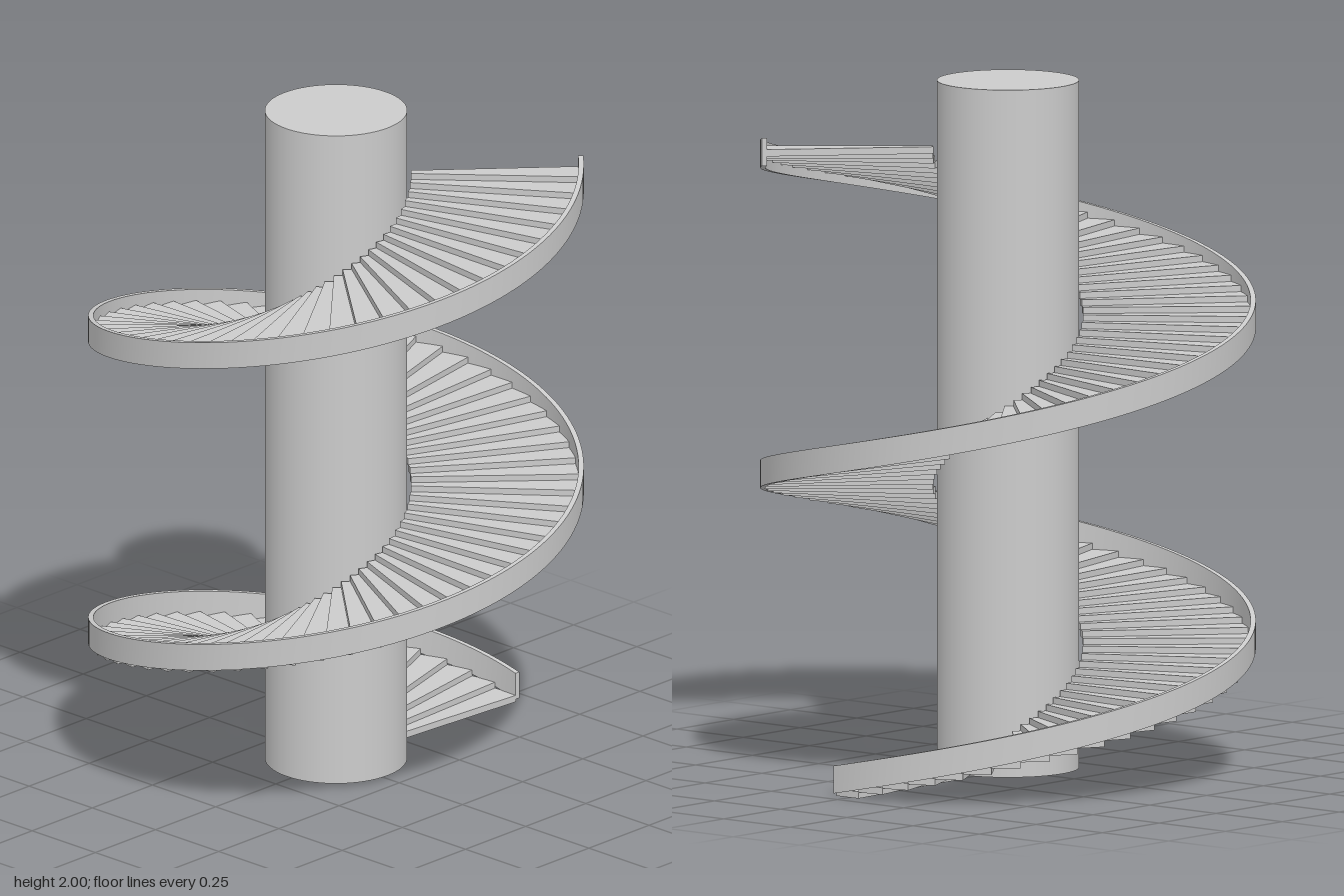
import * as THREE from 'three';

const STEPS = 100;
const START = THREE.MathUtils.degToRad(-4.1);
const SWEEP = THREE.MathUtils.degToRad(681.4);

// Bends a box around the column: x becomes angle, y height plus climb, z radius.
function bentBox(angle0, angle1, rInner, rOuter, y0, height, climb, segments) {
  const geo = new THREE.BoxGeometry(1, 1, 1, segments, 1, 1);
  const p = geo.attributes.position;
  for (let i = 0; i < p.count; i++) {
    const t = p.getX(i) + 0.5;
    const a = angle0 + (angle1 - angle0) * t;
    const r = rInner + (rOuter - rInner) * (p.getZ(i) + 0.5);
    const y = y0 + climb * t + height * (p.getY(i) + 0.5);
    p.setXYZ(i, r * Math.cos(a), y, -r * Math.sin(a));
  }
  geo.computeVertexNormals();
  return geo;
}

export function createModel() {
  const model = new THREE.Group();
  model.name = 'spiralStaircase';
  const material = new THREE.MeshStandardMaterial({ color: 0xcccccc });

  function add(parent, name, geometry) {
    const mesh = new THREE.Mesh(geometry, material);
    mesh.name = name;
    parent.add(mesh);
    return mesh;
  }

  // Central column
  add(model, 'column', new THREE.CylinderGeometry(0.204, 0.204, 1.99, 64)).position.y = 1.005;

  // Wedge treads, each one rise above the last
  const treads = new THREE.Group();
  treads.name = 'treads';
  model.add(treads);
  const turn = SWEEP / STEPS;
  const rise = 1.79 / (STEPS - 1);
  for (let i = 0; i < STEPS; i++) {
    const a = START + i * turn;
    add(treads, `tread${i + 1}`, bentBox(a, a + turn, 0.215, 0.697, i * rise, 0.02, 0, 3));
  }

  // Outer helical band
  add(model, 'outerStringer',
    bentBox(START, START + SWEEP, 0.695, 0.71, 0.008, 0.08, 1.755, 300));

  return model;
}
